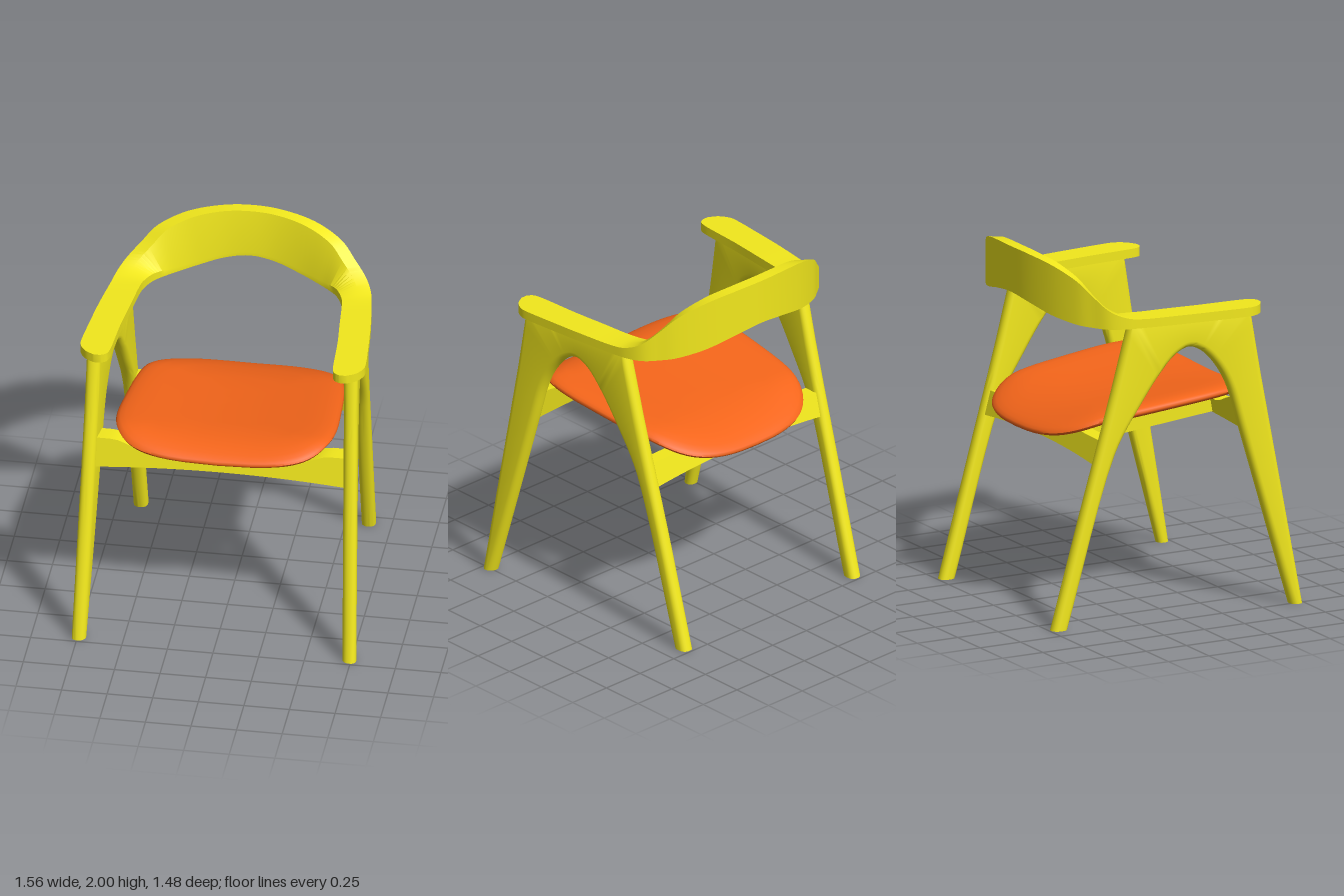
import * as THREE from 'three';
import { toCreasedNormals } from 'three/addons/utils/BufferGeometryUtils.js';

const wood = new THREE.MeshStandardMaterial({ color: 0xf2e81c });
const fabric = new THREE.MeshStandardMaterial({ color: 0xf4651a });
const V = (x, y, z) => new THREE.Vector3(x, y, z);
const lerp = THREE.MathUtils.lerp;
const smooth = THREE.MathUtils.smoothstep;

// Skin closed cross-sections into a capped solid with outward faces
function loft(rings, crease) {
  const n = rings[0].length, pts = rings.flat(), idx = [];
  for (let i = 0; i < rings.length - 1; i++) {
    for (let j = 0; j < n; j++) {
      const a = i * n + j, b = i * n + (j + 1) % n;
      idx.push(a, b, b + n, a, b + n, a + n);
    }
  }
  [0, rings.length - 1].forEach((r, end) => {
    const c = pts.length;
    pts.push(rings[r].reduce((s, p) => s.add(p), V(0, 0, 0)).divideScalar(n));
    for (let j = 0; j < n; j++) {
      const a = r * n + j, b = r * n + (j + 1) % n;
      idx.push(...(end ? [c, a, b] : [c, b, a]));
    }
  });
  let volume = 0;
  for (let i = 0; i < idx.length; i += 3) {
    volume += pts[idx[i]].dot(V(0, 0, 0).crossVectors(pts[idx[i + 1]], pts[idx[i + 2]]));
  }
  if (volume < 0) idx.reverse();
  const geo = new THREE.BufferGeometry().setFromPoints(pts);
  geo.setIndex(idx);
  return toCreasedNormals(geo, crease);
}

function add(group, name, geo, material) {
  const mesh = new THREE.Mesh(geo, material);
  mesh.name = name;
  group.add(mesh);
}

// Two legs joined by an arched panel: outer z, y and inner z, y per station
function sideFrame(side) {
  const stations = [
    [0.74, 0, 0.67, 0], [0.558, 1.0, 0.385, 1.0], [0.503, 1.3, 0.30, 1.28],
    [0.44, 1.67, 0.22, 1.41], [0.27, 1.67, 0.15, 1.475], [0.08, 1.67, 0.08, 1.5],
    [-0.10, 1.67, 0.0, 1.465], [-0.27, 1.67, -0.09, 1.37], [-0.37, 1.3, -0.21, 1.2],
    [-0.47, 0.95, -0.36, 0.95], [-0.74, 0, -0.65, 0],
  ];
  const inner = new THREE.CatmullRomCurve3(stations.map(s => V(0, s[3], s[2])), false, 'centripetal');
  const steps = (stations.length - 1) * 6, r = 0.034, half = 0.038, rings = [];
  for (let i = 0; i <= steps; i++) {
    const k = Math.min(Math.floor(i / 6), stations.length - 2), f = i / 6 - k;
    const out = V(0, lerp(stations[k][1], stations[k + 1][1], f), lerp(stations[k][0], stations[k + 1][0], f));
    const inn = inner.getPoint(i / steps), w = out.distanceTo(inn), ring = [];
    for (let j = 0; j < 24; j++) {
      const a = (Math.floor(j / 6) + (j % 6) / 5) * Math.PI / 2;
      const right = j < 6 || j >= 18, up = j < 12;
      const u = (right ? w - r : r) + r * Math.cos(a);
      const p = inn.clone().lerp(out, u / w);
      const centre = 0.663 + 0.083 * p.z + 0.04 * p.z * p.z;
      p.x = side * (centre + (up ? half - r : r - half) + r * Math.sin(a));
      ring.push(p);
    }
    rings.push(ring);
  }
  return loft(rings, 0.7);
}

// Arms and backrest in one sweep: inner x, z, outer x, z, bottom y, top y
function armAndBack() {
  const half = [
    [0.655, 0.52, 0.69, 0.52, 1.65, 1.70], [0.625, 0.50, 0.74, 0.49, 1.65, 1.70],
    [0.612, 0.46, 0.773, 0.44, 1.65, 1.70], [0.605, 0.38, 0.78, 0.38, 1.65, 1.70],
    [0.595, 0.2, 0.765, 0.2, 1.65, 1.70], [0.575, 0, 0.745, 0, 1.65, 1.70],
    [0.555, -0.2, 0.715, -0.22, 1.65, 1.70], [0.535, -0.28, 0.695, -0.32, 1.65, 1.715],
    [0.50, -0.35, 0.655, -0.40, 1.65, 1.755], [0.45, -0.40, 0.585, -0.46, 1.652, 1.825],
    [0.39, -0.44, 0.50, -0.52, 1.66, 1.905], [0.28, -0.49, 0.35, -0.585, 1.685, 1.965],
    [0.14, -0.525, 0.17, -0.63, 1.725, 1.993],
  ];
  const mirrored = half.map(([a, b, c, d, e, f]) => [-a, b, -c, d, e, f]).reverse();
  const all = [...half, [0, -0.535, 0, -0.645, 1.745, 2.0], ...mirrored];
  const curve = f => new THREE.CatmullRomCurve3(all.map(f), false, 'catmullrom', 0.5);
  const inner = curve(s => V(s[0], s[4], s[1])), outer = curve(s => V(s[2], s[5], s[3]));
  const steps = (all.length - 1) * 5, rings = [];
  for (let i = 0; i <= steps; i++) {
    const a = inner.getPoint(i / steps), d = outer.getPoint(i / steps);
    const lip = a.clone().setY(Math.min(d.y, a.y + 0.05 - 0.1 * (d.y - 1.7)));
    const flat = Math.min(0.6, 0.07 / Math.hypot(a.x - d.x, a.z - d.z));
    const crest = d.clone().lerp(a, flat).setY(d.y);
    rings.push([a, lip, crest, d, d.clone().setY(a.y)]);
  }
  return loft(rings, 0.55);
}

// Saddle-shaped cushion made of stacked outlines, under centre to top centre
function cushion() {
  const profile = [[0.02, -0.022], [0.5, -0.022], [0.9, -0.022], [0.965, -0.018], [0.99, -0.01], [1, 0.002],
    [0.99, 0.014], [0.965, 0.025], [0.92, 0.036], [0.84, 0.045], [0.7, 0.05], [0.45, 0.05], [0.2, 0.05], [0.02, 0.05]];
  const rings = profile.map(([scale, h]) => {
    const ring = [];
    for (let j = 0; j < 72; j++) {
      const a = j / 72 * Math.PI * 2, c = Math.cos(a), s = Math.sin(a);
      const e = 2 / (s > 0 ? 4.2 : 3);
      const z = scale * 0.615 * Math.sign(s) * Math.abs(s) ** e;
      const width = 0.575 + 0.035 * smooth(z, -0.3, 0.4);
      const x = scale * width * Math.sign(c) * Math.abs(c) ** e;
      const y = 1.1 + 0.1 * z - 0.04 * smooth(z, 0.4, 0.62) - 0.045 * smooth(-z, 0.3, 0.61) + 0.05 * (x / 0.6) ** 2;
      ring.push(V(x, y + h, z));
    }
    return ring;
  });
  return loft(rings, 1.0);
}

// Cross rail with shaped edges, leaning along the legs
function rail(halfLength, bottom, top, z, depth, lean) {
  const rings = [];
  for (let i = 0; i <= 32; i++) {
    const x = lerp(-halfLength, halfLength, i / 32), t = Math.abs(x);
    const y0 = bottom(t), y1 = top(t);
    const at = (y, dz) => V(x, y, z + dz + lean * (y - 1));
    rings.push([at(y0, -depth / 2), at(y0, depth / 2), at(y1, depth / 2), at(y1, -depth / 2)]);
  }
  return loft(rings, 0.5);
}

// Bar running front to back under the seat
function stretcher(x) {
  const section = (z, y) => [V(x - 0.04, y, z), V(x + 0.04, y, z), V(x + 0.04, y + 0.075, z), V(x - 0.04, y + 0.075, z)];
  return loft([section(0.45, 1.015), section(-0.4, 0.935)], 0.5);
}

export function createModel() {
  const chair = new THREE.Group();
  chair.name = 'armchair';
  for (const [side, label] of [[1, 'left'], [-1, 'right']]) {
    add(chair, label + 'SideFrame', sideFrame(side), wood);
    add(chair, label + 'Stretcher', stretcher(side * 0.29), wood);
  }
  add(chair, 'armAndBackRail', armAndBack(), wood);
  add(chair, 'frontRail', rail(0.69, t => 1.015 - 0.06 * t * t,
    t => 1.09 + 0.065 * smooth(t, 0.38, 0.6), 0.475, 0.1, -0.18), wood);
  add(chair, 'backRail', rail(0.62, t => 0.92 - 0.08 * t * t,
    t => 1.03 - 0.02 * t * t, -0.4, 0.08, 0.28), wood);
  add(chair, 'seatCushion', cushion(), fabric);
  return chair;
}
